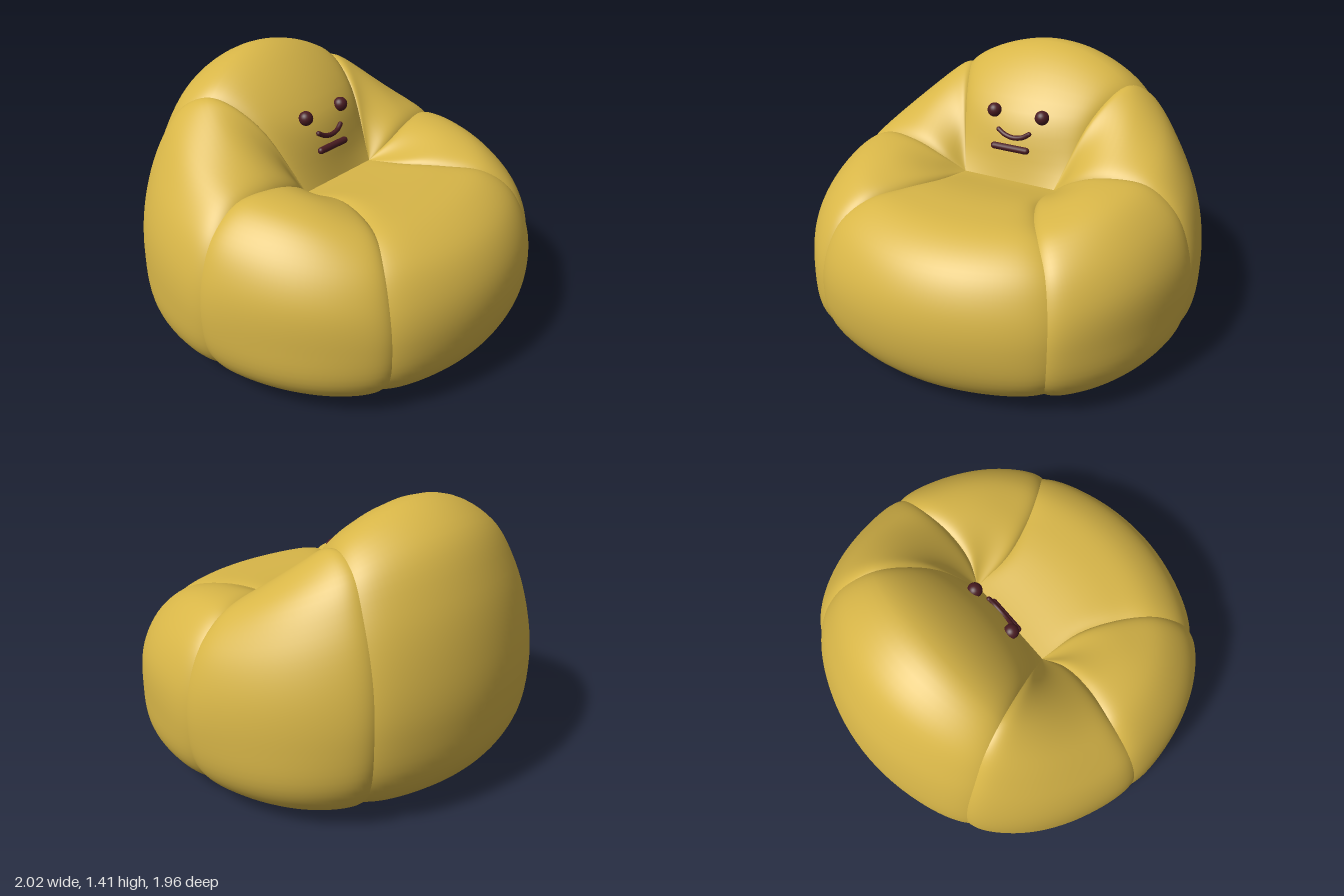
import * as THREE from 'three';

const fabric = new THREE.MeshStandardMaterial({ color: 0xd8b648 });
fabric.name = 'mustard fabric';
const dark = new THREE.MeshStandardMaterial({ color: 0x4a1c22 });
dark.name = 'dark maroon';

const curve = (pts) => new THREE.CatmullRomCurve3(pts.map((p) => new THREE.Vector3(...p)));
const mirror = (pts) => pts.map(([x, y, z]) => [-x, y, z]);

// Each line runs from the middle of the base, out over the rim and in to the seat crease.
const frontSeam = [[0, 0.01, 0], [0.38, 0.01, 0.45], [0.54, 0.07, 0.66], [0.6, 0.2, 0.77], [0.615, 0.4, 0.79], [0.6, 0.57, 0.76],
  [0.55, 0.72, 0.69], [0.46, 0.81, 0.58], [0.36, 0.825, 0.42], [0.28, 0.81, 0.22], [0.26, 0.78, 0]];
const sideSeam = [[0, 0.01, 0], [0.55, 0.01, 0], [0.83, 0.07, 0], [0.96, 0.2, 0], [1, 0.4, 0], [0.98, 0.62, 0],
  [0.9, 0.8, 0], [0.75, 0.915, 0.01], [0.55, 0.92, 0.04], [0.38, 0.86, 0.04], [0.26, 0.78, 0]];
const backSeam = [[0, 0.01, 0], [0.36, 0.01, -0.44], [0.52, 0.08, -0.64], [0.595, 0.25, -0.755], [0.615, 0.5, -0.785], [0.6, 0.75, -0.76],
  [0.57, 1.0, -0.68], [0.52, 1.18, -0.57], [0.46, 1.24, -0.42], [0.37, 1.12, -0.21], [0.26, 0.78, 0]];
const frontMid = [[0, 0.01, 0], [0, 0.01, 0.55], [0, 0.07, 0.82], [0, 0.2, 0.92], [0, 0.4, 0.96], [0, 0.57, 0.935],
  [0, 0.71, 0.85], [0, 0.8, 0.7], [0, 0.825, 0.5], [0, 0.81, 0.25], [0, 0.78, 0]];
const armMid = [[0, 0.01, 0], [0.5, 0.01, 0.26], [0.75, 0.07, 0.4], [0.86, 0.2, 0.455], [0.88, 0.4, 0.465], [0.865, 0.6, 0.455],
  [0.79, 0.76, 0.42], [0.67, 0.875, 0.36], [0.53, 0.9, 0.28], [0.38, 0.85, 0.17], [0.26, 0.78, 0]];
const wingMid = [[0, 0.01, 0], [0.5, 0.01, -0.26], [0.75, 0.07, -0.4], [0.86, 0.22, -0.455], [0.88, 0.45, -0.465], [0.86, 0.68, -0.45],
  [0.8, 0.88, -0.4], [0.7, 1.04, -0.32], [0.55, 1.1, -0.22], [0.4, 1.0, -0.11], [0.26, 0.78, 0]];
const backMid = [[0, 0.01, 0], [0, 0.01, -0.55], [0, 0.08, -0.79], [0, 0.25, -0.92], [0, 0.5, -0.96], [0, 0.75, -0.945],
  [0, 1.05, -0.87], [0, 1.29, -0.73], [0, 1.385, -0.48], [0, 1.11, -0.12], [0, 0.78, 0]];

// Padded panel stretched between two seams through a middle line
function panel(name, seamA, mid, seamB) {
  const [a, m, b] = [seamA, mid, seamB].map(curve);
  const nu = 36, nt = 60, pos = [], index = [];
  const us = Array.from({ length: nu + 1 }, (_, i) => 0.5 - 0.5 * Math.cos((Math.PI * i) / nu));
  for (let j = 0; j <= nt; j++) {
    const t = j / nt;
    const A = a.getPoint(t), B = b.getPoint(t);
    const bulge = m.getPoint(t).sub(A.clone().lerp(B, 0.5));
    for (const u of us) {
      const p = A.clone().lerp(B, u).addScaledVector(bulge, 4 * u * (1 - u));
      pos.push(p.x, p.y, p.z);
    }
  }
  for (let j = 0; j < nt; j++) {
    for (let i = 0; i < nu; i++) {
      const k = j * (nu + 1) + i, up = k + nu + 1;
      index.push(k, k + 1, up, k + 1, up + 1, up);
    }
  }
  const geo = new THREE.BufferGeometry();
  geo.setAttribute('position', new THREE.Float32BufferAttribute(pos, 3));
  geo.setIndex(index);
  geo.computeVertexNormals();
  // Puff the stuffing outward, leaving the seams as grooves
  const P = geo.attributes.position, N = geo.attributes.normal;
  for (let k = 0; k < P.count; k++) {
    const u = us[k % (nu + 1)], t = Math.floor(k / (nu + 1)) / nt;
    const fade = THREE.MathUtils.smoothstep(t, 0.1, 0.28) * (1 - THREE.MathUtils.smoothstep(t, 0.85, 1));
    const puff = 0.02 * fade * (1 - Math.abs(2 * u - 1) ** 10);
    P.setXYZ(k, P.getX(k) + N.getX(k) * puff, Math.max(0, P.getY(k) + N.getY(k) * puff), P.getZ(k) + N.getZ(k) * puff);
  }
  geo.computeVertexNormals();
  const mesh = new THREE.Mesh(geo, fabric);
  mesh.name = name;
  return mesh;
}

export function createModel() {
  const group = new THREE.Group();
  group.name = 'beanbagChair';

  // Six panels, counterclockwise from the front
  group.add(
    panel('seatPanel', mirror(frontSeam), frontMid, frontSeam),
    panel('leftArmPanel', frontSeam, armMid, sideSeam),
    panel('leftWingPanel', sideSeam, wingMid, backSeam),
    panel('backrestPanel', backSeam, backMid, mirror(backSeam)),
    panel('rightWingPanel', mirror(backSeam), mirror(wingMid), mirror(sideSeam)),
    panel('rightArmPanel', mirror(sideSeam), mirror(armMid), mirror(frontSeam)),
  );

  // Depth of the backrest's face at a given height
  const line = curve(backMid).getPoints(400).slice(330);
  const faceZ = (y) => line.reduce((q, p) => (Math.abs(p.y - y) < Math.abs(q.y - y) ? p : q)).z;
  const add = (name, geo, x, y, z) => {
    const mesh = new THREE.Mesh(geo, dark);
    mesh.name = name;
    mesh.position.set(x, y, z);
    group.add(mesh);
    return mesh;
  };

  // Eyes
  for (const [name, x] of [['leftEye', 0.137], ['rightEye', -0.137]]) {
    add(name, new THREE.SphereGeometry(0.037, 24, 16), x, 1.113, faceZ(1.113) + 0.018);
  }

  // Curved upper lip with rounded ends
  const lip = [[-0.09, 1.028], [-0.05, 1.007], [0, 0.998], [0.05, 1.007], [0.085, 1.028]]
    .map(([x, y]) => [x, y, faceZ(y) + 0.014]);
  add('upperLip', new THREE.TubeGeometry(curve(lip), 32, 0.013, 10), 0, 0, 0);
  for (const end of [lip[0], lip[4]]) add('lipEnd', new THREE.SphereGeometry(0.013, 12, 8), ...end);

  // Straight lower lip
  const bar = add('lowerLip', new THREE.CapsuleGeometry(0.018, 0.185, 6, 12), -0.01, 0.946, faceZ(0.946) + 0.016);
  bar.rotation.z = Math.PI / 2;

  return group;
}
